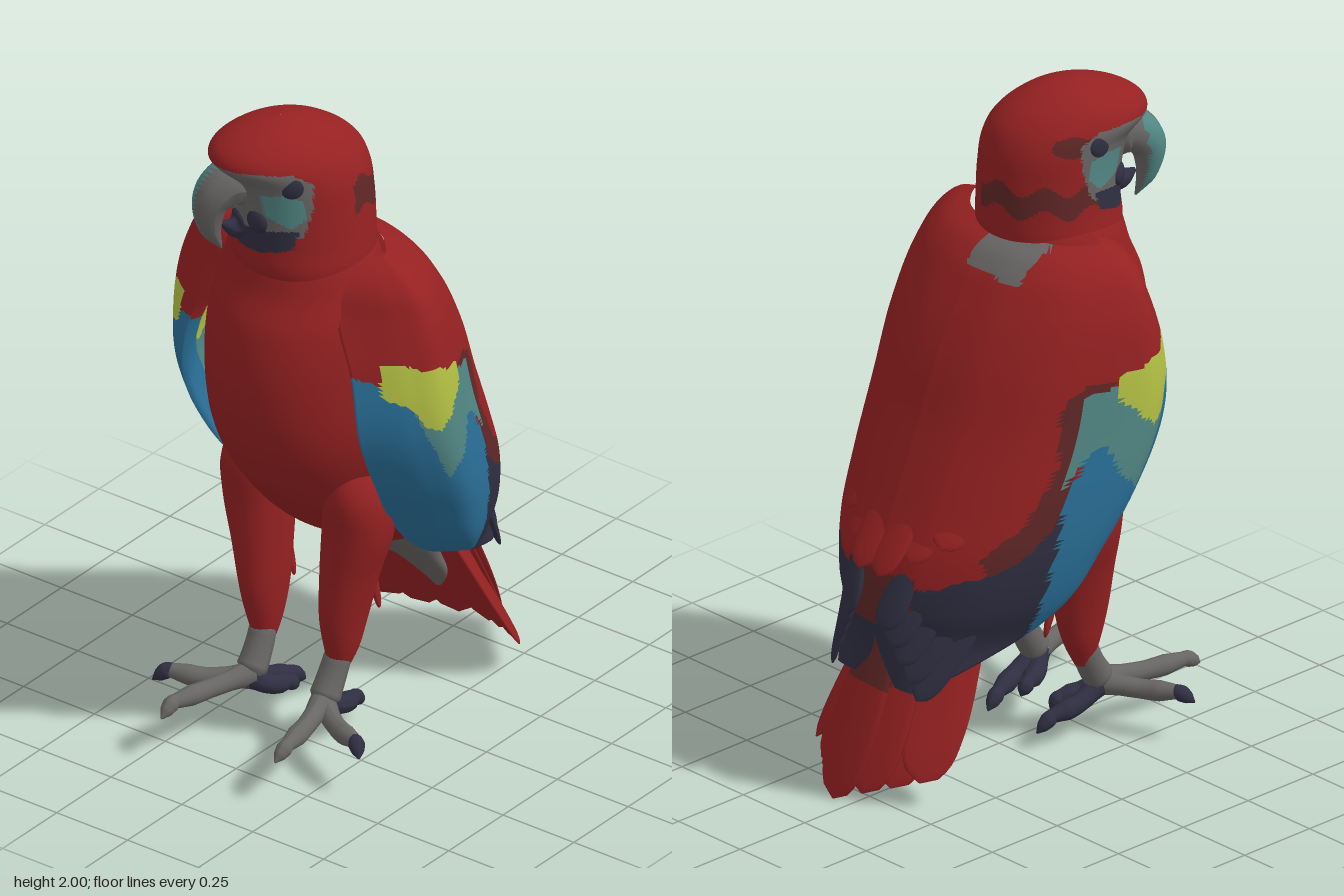
import * as THREE from 'three';

const V = (x, y, z) => new THREE.Vector3(x, y, z);
const mat = (name, color) => Object.assign(new THREE.MeshStandardMaterial({ color }), { name });
const M = {
  red: mat('red plumage', 0x962122), maroon: mat('dark red plumage', 0x602726),
  blue: mat('blue feathers', 0x2a7099), teal: mat('teal feathers', 0x528885),
  yellow: mat('yellow feathers', 0xb4c244), navy: mat('navy feathers', 0x302f42),
  grey: mat('grey skin', 0x686664),
};
const names = Object.keys(M);
const all = Object.values(M);

// Smooth table lookup: rows are [y, ...values], y ascending
function track(rows) {
  const n = rows[0].length - 1;
  const f = new THREE.CubicInterpolant(rows.map(r => r[0]), rows.flatMap(r => r.slice(1)), n, new Float32Array(n));
  const y0 = rows[0][0], y1 = rows[rows.length - 1][0];
  return t => { const y = y0 + (y1 - y0) * t; return [y, ...f.evaluate(Math.min(y, y1 - 1e-6))]; };
}

// Closed-loop skin over rows rising in y; side = -1 mirrors it
function skin(point, rows, cols, side = 1) {
  const pos = [], idx = [];
  for (let j = 0; j <= rows; j++) for (let i = 0; i < cols; i++) {
    const p = point(j / rows, i / cols);
    pos.push(p.x * side, p.y, p.z);
    if (j === rows) continue;
    const a = j * cols + i, b = j * cols + (i + 1) % cols, c = a + cols, d = b + cols;
    if (side > 0) idx.push(a, b, c, b, d, c); else idx.push(a, c, b, b, c, d);
  }
  const g = new THREE.BufferGeometry();
  g.setAttribute('position', new THREE.Float32BufferAttribute(pos, 3));
  g.setIndex(idx);
  g.computeVertexNormals();
  return g;
}

// Elliptical sections: [y, centre x, centre z, radius x, radius z]
function loft(rows, nRows, nCols, side = 1) {
  const at = track(rows);
  return skin((v, u) => {
    const [y, cx, cz, rx, rz] = at(v), a = u * Math.PI * 2;
    return V(cx + Math.max(rx, 0.001) * Math.sin(a), y, cz + Math.max(rz, 0.001) * Math.cos(a));
  }, nRows, nCols, side);
}

// Tube whose radius follows a list of values along its path
function taper(points, radii, seg = 24) {
  const path = new THREE.CatmullRomCurve3(points);
  const g = new THREE.TubeGeometry(path, seg, 1, 14), p = g.attributes.position, v = V(0, 0, 0);
  for (let i = 0; i < p.count; i++) {
    const t = g.attributes.uv.getX(i), c = path.getPointAt(t);
    const k = t * (radii.length - 1), n = Math.min(Math.floor(k), radii.length - 2);
    v.fromBufferAttribute(p, i).sub(c).multiplyScalar(THREE.MathUtils.lerp(radii[n], radii[n + 1], k - n)).add(c);
    p.setXYZ(i, v.x, v.y, v.z);
  }
  g.computeVertexNormals();
  return g;
}

// Sort faces into colour groups by a rule on their centre
function paint(g, rule) {
  const lists = names.map(() => []), ix = g.index.array, p = g.attributes.position;
  for (let i = 0; i < ix.length; i += 3) {
    const c = V(0, 0, 0);
    for (let k = 0; k < 3; k++) c.add(V(0, 0, 0).fromBufferAttribute(p, ix[i + k]));
    c.divideScalar(3);
    lists[names.indexOf(rule(c))].push(ix[i], ix[i + 1], ix[i + 2]);
  }
  g.setIndex(lists.flat());
  let start = 0;
  lists.forEach((l, m) => { if (l.length) g.addGroup(start, l.length, m); start += l.length; });
  return g;
}

function add(parent, name, geo, material) {
  const m = new THREE.Mesh(geo, material);
  m.name = name;
  parent.add(m);
  return m;
}

// Flat rounded feather from base to tip, its width lying along `across`
function feather(base, tip, w, across) {
  const dir = tip.clone().sub(base), L = dir.length();
  const g = loft([[0, 0, 0, w * 0.5, 0.01], [L * 0.35, 0, 0, w * 0.85, 0.014], [L * 0.75, 0, 0, w, 0.012],
    [L * 0.92, 0, 0, w * 0.75, 0.008], [L * 0.98, 0, 0, w * 0.38, 0.005], [L, 0, 0, 0.002, 0.002]], 24, 14);
  dir.normalize();
  const x = across.clone().addScaledVector(dir, -across.dot(dir)).normalize();
  return g.applyMatrix4(new THREE.Matrix4().makeBasis(x, dir, x.clone().cross(dir)).setPosition(base));
}

// Colour regions as outlines in (z, y); the first that holds the point wins
const wingRegions = [
  ['yellow', [[.29, 1.34], [.2, 1.31], [.05, 1.27], [.05, 1.2], [.1, 1.16], [.16, 1.1], [.2, 1.13], [.25, 1.2], [.3, 1.24]]],
  ['teal', [[.24, 1.19], [.05, 1.25], [-.05, 1.22], [-.08, 1.08], [-.13, .95], [-.06, 1.05], [0, 1.08], [.04, .98], [.1, .92], [.15, 1], [.2, 1.1]]],
  ['blue', [[.4, 1.3], [.05, 1.22], [-.04, 1.08], [-.12, .93], [-.16, .75], [-.2, .47], [0, .4], [.4, .8]]],
  ['maroon', [[.05, 1.27], [-.07, 1.24], [-.11, 1.17], [-.125, 1.04], [-.22, .88], [-.34, .78], [-.32, .72], [-.2, .8], [-.1, .95], [-.06, 1.1]]],
  ['navy', [[-.1, .98], [-.2, .83], [-.33, .73], [-.48, .66], [-.6, .6], [-.6, .3], [-.1, .3]]],
];
const faceRegions = [
  ['navy', [[.08, 1.715], [.13, 1.71], [.2, 1.69], [.3, 1.69], [.3, 1.62], [.17, 1.63], [.1, 1.66]]],
  ['teal', [[.07, 1.81], [.06, 1.76], [.1, 1.72], [.16, 1.75], [.175, 1.82], [.12, 1.83]]],
  ['grey', [[.07, 1.7], [.045, 1.78], [.04, 1.86], [.1, 1.895], [.2, 1.9], [.3, 1.895], [.3, 1.64], [.12, 1.67]]],
];
function regionColour(regions, z, y) {
  const hit = regions.find(([, poly]) => poly.reduce((odd, [z1, y1], i) => {
    const [z2, y2] = poly[(i + 1) % poly.length];
    return (y1 > y) !== (y2 > y) && z < (z2 - z1) * (y - y1) / (y2 - y1) + z1 ? !odd : odd;
  }, false));
  return hit ? hit[0] : 'red';
}
function wingColour(c) {
  if (c.y > 1.5 && c.z > -0.1 && c.z < 0.08 && c.x > -0.17 && c.x < 0.03) return 'grey';
  if (Math.abs(c.x) < 0.13 && c.z < -0.38 && c.y > 0.53 && c.y < 0.7) return 'maroon';
  return regionColour(wingRegions, c.z, c.y + 0.005 * Math.sin(c.z * 70));
}

// Folded wing rows: [y, front x, front z, side x, side z, back x, back z, thickness]
const wingAt = track([
  [.36, .12, -.45, .16, -.47, .08, -.48, .005], [.42, .2, -.32, .23, -.38, .03, -.475, .02],
  [.5, .23, -.12, .3, -.22, 0, -.48, .03], [.6, .25, .02, .37, -.13, 0, -.485, .04],
  [.75, .27, .15, .42, -.06, 0, -.46, .05], [.9, .3, .25, .45, .02, 0, -.4, .06],
  [1.1, .31, .34, .465, .1, 0, -.315, .08], [1.3, .28, .34, .455, .13, 0, -.235, .13],
  [1.45, .21, .31, .42, .14, 0, -.15, .2], [1.54, .19, .27, .365, .15, 0, -.08, .2],
  [1.575, .19, .22, .31, .15, 0, -.03, .14], [1.59, .2, .18, .25, .14, 0, .02, .05]]);
function wingPoint(v, u) {
  const [y, fx, fz, sx, sz, bx, bz, thick] = wingAt(v);
  const s = u < 0.5 ? u * 2 : 2 - u * 2, lerp = THREE.MathUtils.lerp;
  const p = new THREE.SplineCurve([[fx, fz], [lerp(fx, sx, .72), lerp(fz, sz, .45)], [sx, sz],
    [lerp(bx, sx, .74), lerp(sz, bz, .62)], [lerp(bx, sx, .36), lerp(sz, bz, .93)], [bx, bz]]
    .map(q => new THREE.Vector2(...q))).getPoint(s);
  if (u > 0.5) { // inner face, set towards the body axis
    const c = new THREE.Vector2(0, (sz + bz) / 2 + 0.05).sub(p).normalize();
    p.addScaledVector(c, Math.max(thick, 0) * Math.sqrt(Math.sin(Math.PI * s)));
  }
  return V(Math.max(p.x, 0), y, p.y);
}
function wingGeometry(side) {
  const cols = 120, g = skin(wingPoint, 100, cols, side), n = g.attributes.normal;
  // Smooth shading across the seam along the spine
  for (let i = cols / 2; i < n.count; i += cols) {
    const v = V(0, n.getY(i - 1), n.getZ(i - 1)).normalize();
    n.setXYZ(i, v.x, v.y, v.z);
  }
  return paint(g, wingColour);
}

function headColour(c) {
  const face = regionColour(faceRegions, c.z, c.y);
  if (face !== 'red') return face;
  const ang = Math.atan2(c.x, c.z), wave = 0.018 * Math.sin(ang * 9);
  const nape = ang < -1 && ang > -3 && Math.abs(c.y - 1.7 - wave) < 0.035;
  const sidePatch = Math.abs(ang - 2.5) < 0.45 && Math.abs(c.y - 1.775 - wave) < 0.045;
  const crownPatch = Math.hypot((ang + 1.45) / 0.35, (c.y - 1.86) / 0.03) < 1;
  return nape || sidePatch || crownPatch ? 'maroon' : 'red';
}

function buildHead() {
  const head = new THREE.Group();
  head.name = 'head';
  head.position.set(0, 0, 0.2);
  head.rotation.y = -0.5;
  const sec = (y, front, back, half) => [y, 0, (front + back) / 2, half, (front - back) / 2];
  const skull = loft([sec(1.5, .18, -.2, .2), sec(1.58, .2, -.213, .208), sec(1.65, .195, -.212, .2),
    sec(1.75, .2, -.208, .19), sec(1.84, .225, -.195, .18), sec(1.9, .275, -.165, .163), sec(1.95, .24, -.105, .125),
    sec(1.985, .16, -.03, .07), sec(1.996, .11, .02, .033), sec(2, .065, .065, 0)], 110, 96);
  add(head, 'skull', paint(skull, headColour), all);
  const bill = taper([V(0, 1.79, .15), V(0, 1.82, .22), V(0, 1.775, .275), V(0, 1.69, .28), V(0, 1.61, .245)],
    [.06, .072, .062, .045, .028, .003], 36);
  add(head, 'upperBeak', paint(bill, c =>
    (c.x < 0.003 && c.z > 0.275 - 1.6 * (c.y - 1.74) ** 2 ? 'teal' : 'grey')), all);
  add(head, 'lowerBeak', taper([V(0, 1.71, .13), V(0, 1.67, .2), V(0, 1.69, .245)], [.055, .045, .005]), M.navy);
  for (const s of [1, -1]) {
    const eye = add(head, 'eye', new THREE.SphereGeometry(0.037, 20, 14), M.navy);
    eye.position.set(s * 0.155, 1.85, 0.1);
    eye.rotation.y = s * 1.1;
    eye.scale.z = 0.4;
    const spot = add(head, 'cheekSpot', new THREE.SphereGeometry(0.036, 16, 12), M.navy);
    spot.position.set(s * 0.085, 1.725, 0.172);
    spot.rotation.y = s * 0.45;
    spot.scale.z = 0.5;
  }
  return head;
}

function buildLeg(s) {
  const leg = new THREE.Group(), P = (x, y, z) => V(x * s, y, z);
  leg.name = s > 0 ? 'leftLeg' : 'rightLeg';
  add(leg, 'thigh', loft([[.23, .13, .2, .025, .025], [.3, .135, .19, .045, .055], [.4, .14, .185, .06, .085],
    [.55, .155, .175, .08, .1], [.7, .175, .165, .1, .11], [.83, .18, .18, .085, .105], [.95, .17, .2, .03, .05]], 30, 24, s), M.red);
  add(leg, 'thighTuft', feather(P(.15, .62, .11), P(.15, .37, .035), .04, V(.6, 0, .8)), M.red);
  add(leg, 'shank', taper([P(.135, .32, .19), P(.13, .24, .22), P(.13, .16, .27), P(.135, .14, .3)], [.03, .04, .042, .045, .01]), M.grey);
  // Two toes forward and out, two back, each with a claw
  const toes = [
    [P(.13, .16, .27), P(.17, .155, .4), P(.2, .16, .53), P(.2, .13, .585)],
    [P(.13, .15, .27), P(.24, .14, .34), P(.33, .15, .38), P(.365, .12, .41)],
    [P(.13, .15, .27), P(.13, .11, .18), P(.11, .09, .1), P(.1, .05, .05)],
    [P(.13, .15, .27), P(.09, .12, .23), P(.065, .11, .17), P(.06, .08, .14)]];
  toes.forEach((t, i) => {
    add(leg, 'toe', taper(t.slice(0, 3), [.038, .03, .028, .03, .02]), i < 2 ? M.grey : M.navy);
    add(leg, 'claw', taper([t[2].clone().lerp(t[1], .1), t[2], t[3]], [.02, .024, .018, .002], 14), i ? M.navy : M.grey);
  });
  return leg;
}

export function createModel() {
  const bird = new THREE.Group();
  bird.name = 'parrot';

  // Body with grey vent running down under the tail
  add(bird, 'body', paint(loft([[.18, .01, -.42, .01, .01], [.24, .01, -.39, .05, .03], [.35, 0, -.31, .085, .06],
    [.5, 0, -.19, .13, .14], [.65, 0, -.05, .19, .23], [.85, 0, .02, .25, .35], [1, 0, .09, .28, .36], [1.2, 0, .15, .28, .335],
    [1.4, 0, .17, .265, .29], [1.5, 0, .19, .235, .225], [1.6, 0, .19, .205, .195], [1.68, 0, .19, .15, .15]], 80, 64),
    c => (c.y < 0.5 ? 'grey' : 'red')), all);
  bird.add(buildHead());

  for (const s of [1, -1]) {
    const wing = new THREE.Group();
    wing.name = s > 0 ? 'leftWing' : 'rightWing';
    add(wing, 'foldedWing', wingGeometry(s), all);
    // Flight feather tips fanned along the trailing edge
    for (let k = 0; k < 5; k++)
      add(wing, 'flightFeather', feather(V(s * (.27 - .04 * k), .68 + .02 * k, -.26 - .04 * k),
        V(s * (.17 - .025 * k), .35 + .05 * k, -.482 - .009 * k), .045, V(s * -.6, .2, -.4 + .08 * k)), M.navy);
    // Ragged ends of the back plumage
    for (let k = 0; k < 3; k++)
      add(wing, 'backFeather', feather(V(s * (.05 + .07 * k), 1, -.29 + .035 * k),
        V(s * (.04 + .075 * k), .7 + .05 * k, -.505 + .05 * k), .055, V(s, 0, .3 * k)), M.red);
    bird.add(wing, buildLeg(s));
  }

  // Tail fan, arched so the outer feathers sit further forward
  const tail = new THREE.Group();
  tail.name = 'tail';
  for (let i = -3; i <= 3; i++) {
    const a = Math.abs(i);
    add(tail, 'tailFeather', paint(feather(V(.03 + .045 * i, .6, -.36 + .06 * a),
      V(.06 + .07 * i, .002 + .025 * a, -.585 + .045 * a), .085, V(1, 0, .3 * i)),
      c => (i <= 0 && c.y > 0.33 && c.y < 0.45 && c.z < -0.36 ? 'maroon' : 'red')), all);
  }
  bird.add(tail);
  return bird;
}
